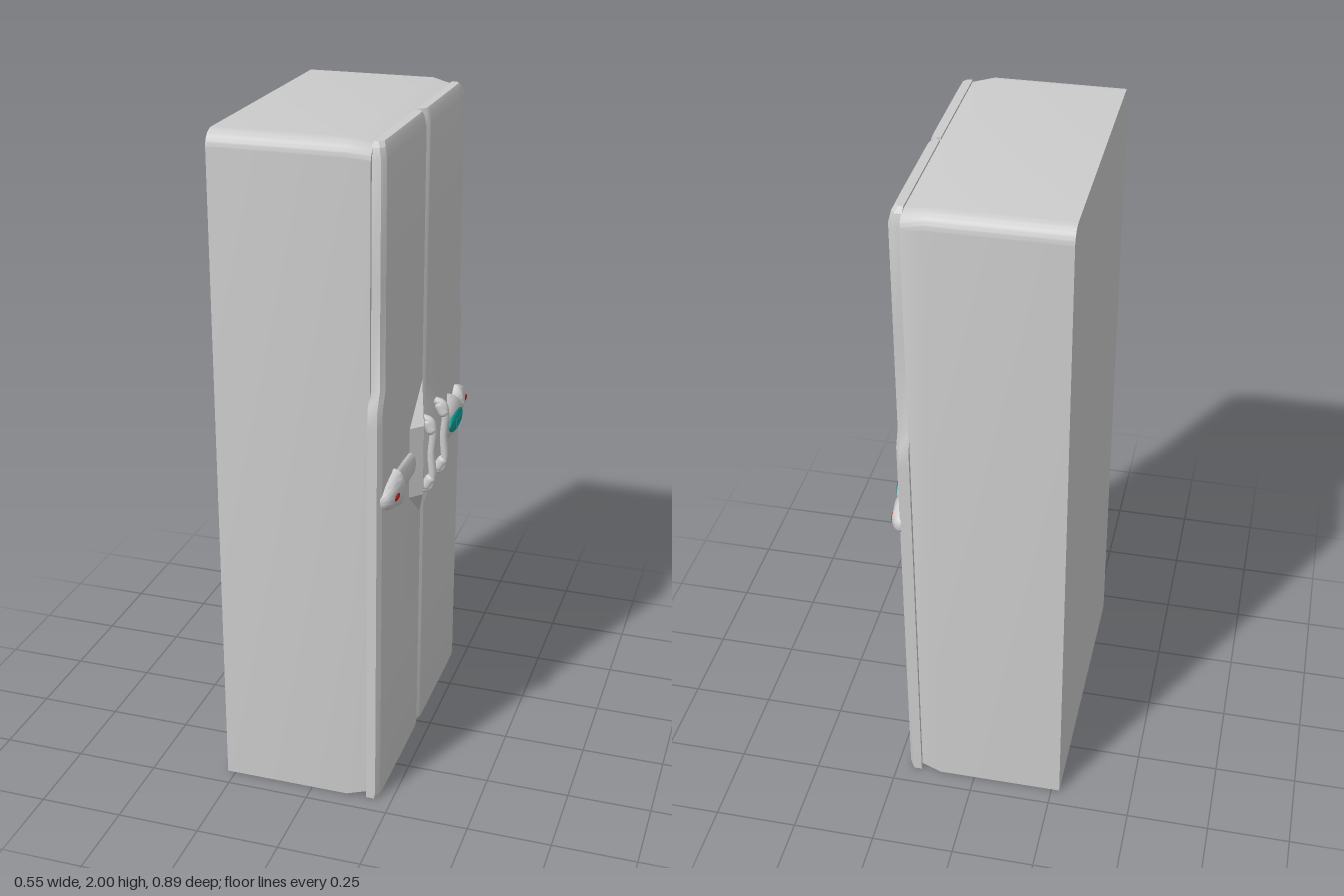
import * as THREE from 'three';
import { toCreasedNormals } from 'three/addons/utils/BufferGeometryUtils.js';

const grey = new THREE.MeshStandardMaterial({ color: 0xcccccc });
const teal = new THREE.MeshStandardMaterial({ color: 0x109a92 });
const red = new THREE.MeshStandardMaterial({ color: 0xcc2222 });
const AXIS_Y = 0.985; // height of the ornaments

function add(parent, name, geometry, material = grey) {
  const mesh = new THREE.Mesh(geometry, material);
  mesh.name = name;
  parent.add(mesh);
  return mesh;
}

// Moves every vertex by a rule that edits the vector
function warp(geometry, rule) {
  const p = geometry.attributes.position, v = new THREE.Vector3();
  for (let i = 0; i < p.count; i++) {
    rule(v.fromBufferAttribute(p, i));
    p.setXYZ(i, v.x, v.y, v.z);
  }
  return toCreasedNormals(geometry, 0.45);
}

// Cabinet: rounded top corners, tapering slightly towards the doors
function cabinetGeometry() {
  const w = 0.443, r = 0.045;
  const s = new THREE.Shape();
  s.moveTo(-w, 0);
  s.lineTo(w, 0);
  s.lineTo(w, 2 - r);
  s.absarc(w - r, 2 - r, r, 0, Math.PI / 2);
  s.lineTo(-w + r, 2);
  s.absarc(-w + r, 2 - r, r, Math.PI / 2, Math.PI);
  s.closePath();
  const g = new THREE.ExtrudeGeometry(s, { depth: 1, steps: 2, bevelEnabled: false, curveSegments: 6 });
  g.rotateY(Math.PI / 2);
  return warp(g, (v) => {
    const front = v.x > 0.9;
    v.x = front ? 0.175 : v.x > 0.4 ? 0.11 : -0.275;
    if (front) {
      v.z *= 0.97;
      v.y = 1 + (v.y - 1) * 0.986;
    }
  });
}

// Door rows: height, strength of the handle recess, outer edge, front setback
const ROWS = [
  [0.0, 0, 0.443, 0.004], [0.02, 0, 0.443, 0], [0.4, 0, 0.443, 0], [0.78, 0, 0.443, 0],
  [0.88, 1, 0.443, 0], [1.1, 1, 0.443, 0], [1.2, 0, 0.443, 0], [1.26, 0, 0.443, 0],
  [1.31, 0, 0.42, 0], [1.6, 0, 0.42, 0], [1.95, 0, 0.42, 0], [1.98, 0, 0.411, 0.007], [1.993, 0, 0.395, 0.014],
];

// Columns run from the seam to the outer edge: [z, front x]
const columns = (k, outer) => [
  [0.005, 0.197], [0.018, 0.208], [0.022 + 0.078 * k, 0.21 + 0.03 * k],
  [0.026 + 0.104 * k, 0.211 + 0.036 * k], [0.04 + 0.125 * k, 0.212 + 0.002 * k],
  [0.22, 0.212], [0.32, 0.212], [outer - 0.016, 0.211], [outer, 0.2],
];

function doorGeometry(side) {
  const nr = ROWS.length - 1, nc = 8;
  const g = new THREE.BoxGeometry(1, 1, 1, 1, nr, nc);
  return warp(g, (v) => {
    const [y, k, outer, setback] = ROWS[Math.round((v.y + 0.5) * nr)];
    const [z, x] = columns(k, outer)[Math.round((side * v.z + 0.5) * nc)];
    v.set(v.x > 0 ? x - setback : 0.172, y, side * z);
  });
}

// Half-round ornament body; profile entries are [z, half height, front x]
function ornamentGeometry(profile) {
  const base = 0.205, n = 16;
  const rings = [...profile];
  if (rings[0][0] > rings.at(-1)[0]) rings.reverse();
  rings.unshift([rings[0][0], 0, base]);
  rings.push([rings.at(-1)[0], 0, base]);
  const pos = [], index = [];
  rings.forEach(([z, h, x], i) => {
    for (let j = 0; j <= n; j++) {
      const t = (j / n) * Math.PI;
      pos.push(base + (x - base) * Math.pow(Math.max(0, Math.sin(t)), 0.7), AXIS_Y + h * Math.cos(t), z);
      if (i < rings.length - 1 && j < n) {
        const a = i * (n + 1) + j, b = a + n + 1;
        index.push(a, b, a + 1, b, b + 1, a + 1);
      }
    }
  });
  const g = new THREE.BufferGeometry();
  g.setAttribute('position', new THREE.Float32BufferAttribute(pos, 3));
  g.setIndex(index);
  return toCreasedNormals(g, 0.8);
}

// Flattened oval lens
function addLens(parent, name, material, x, z, depth, height, length) {
  const lens = add(parent, name, new THREE.SphereGeometry(1, 24, 12), material);
  lens.position.set(x, AXIS_Y, z);
  lens.scale.set(depth, height, length);
}

function createHandle(side) {
  const handle = new THREE.Group();
  handle.name = side > 0 ? 'leftDoorHandle' : 'rightDoorHandle';
  const path = new THREE.CatmullRomCurve3([
    [0.225, 1.1], [0.25, 1.092], [0.259, 1.06], [0.255, 0.985], [0.259, 0.91], [0.25, 0.878], [0.225, 0.87],
  ].map(([x, y]) => new THREE.Vector3(x, y, side * 0.07)));
  add(handle, 'handleBar', new THREE.TubeGeometry(path, 40, 0.012, 12));
  // Swollen ends
  for (const dir of [1, -1]) {
    const end = add(handle, 'handleEnd', new THREE.CapsuleGeometry(0.017, 0.022, 6, 14));
    end.position.set(0.248, 0.985 + dir * 0.09, side * 0.07);
    end.rotation.z = dir * 0.5;
  }
  return handle;
}

export function createModel() {
  const model = new THREE.Group();
  model.name = 'refrigerator';
  add(model, 'cabinet', cabinetGeometry());

  for (const side of [1, -1]) {
    add(model, side > 0 ? 'leftDoor' : 'rightDoor', doorGeometry(side));
    model.add(createHandle(side));
  }

  // Left ornament: straight bar, flared collar and pointed tip
  const left = new THREE.Group();
  left.name = 'leftOrnament';
  add(left, 'barAndTip', ornamentGeometry([
    [0.15, 0.042, 0.23], [0.295, 0.042, 0.232], [0.308, 0.05, 0.245], [0.322, 0.06, 0.249],
    [0.338, 0.053, 0.246], [0.365, 0.046, 0.243], [0.4, 0.036, 0.24], [0.425, 0.022, 0.23], [0.433, 0.012, 0.218],
  ]));
  addLens(left, 'redLens', red, 0.237, 0.375, 0.008, 0.012, 0.027);
  model.add(left);

  // Right ornament: oval housing with a lens, then a matching tip
  const right = new THREE.Group();
  right.name = 'rightOrnament';
  add(right, 'ovalHousing', ornamentGeometry([
    [-0.135, 0.038, 0.24], [-0.155, 0.054, 0.253], [-0.18, 0.063, 0.262], [-0.22, 0.067, 0.264],
    [-0.26, 0.062, 0.262], [-0.29, 0.05, 0.256], [-0.312, 0.036, 0.248],
  ]));
  add(right, 'tip', ornamentGeometry([
    [-0.305, 0.03, 0.24], [-0.335, 0.034, 0.24], [-0.345, 0.046, 0.248], [-0.358, 0.055, 0.246],
    [-0.38, 0.047, 0.243], [-0.41, 0.036, 0.24], [-0.432, 0.022, 0.228], [-0.441, 0.012, 0.216],
  ]));
  addLens(right, 'tealLens', teal, 0.256, -0.21, 0.012, 0.032, 0.075);
  const bar = add(right, 'lensBar', new THREE.BoxGeometry(0.006, 0.022, 0.06), teal);
  bar.position.set(0.265, AXIS_Y, -0.21);
  addLens(right, 'redLens', red, 0.237, -0.388, 0.008, 0.012, 0.026);
  model.add(right);

  return model;
}
